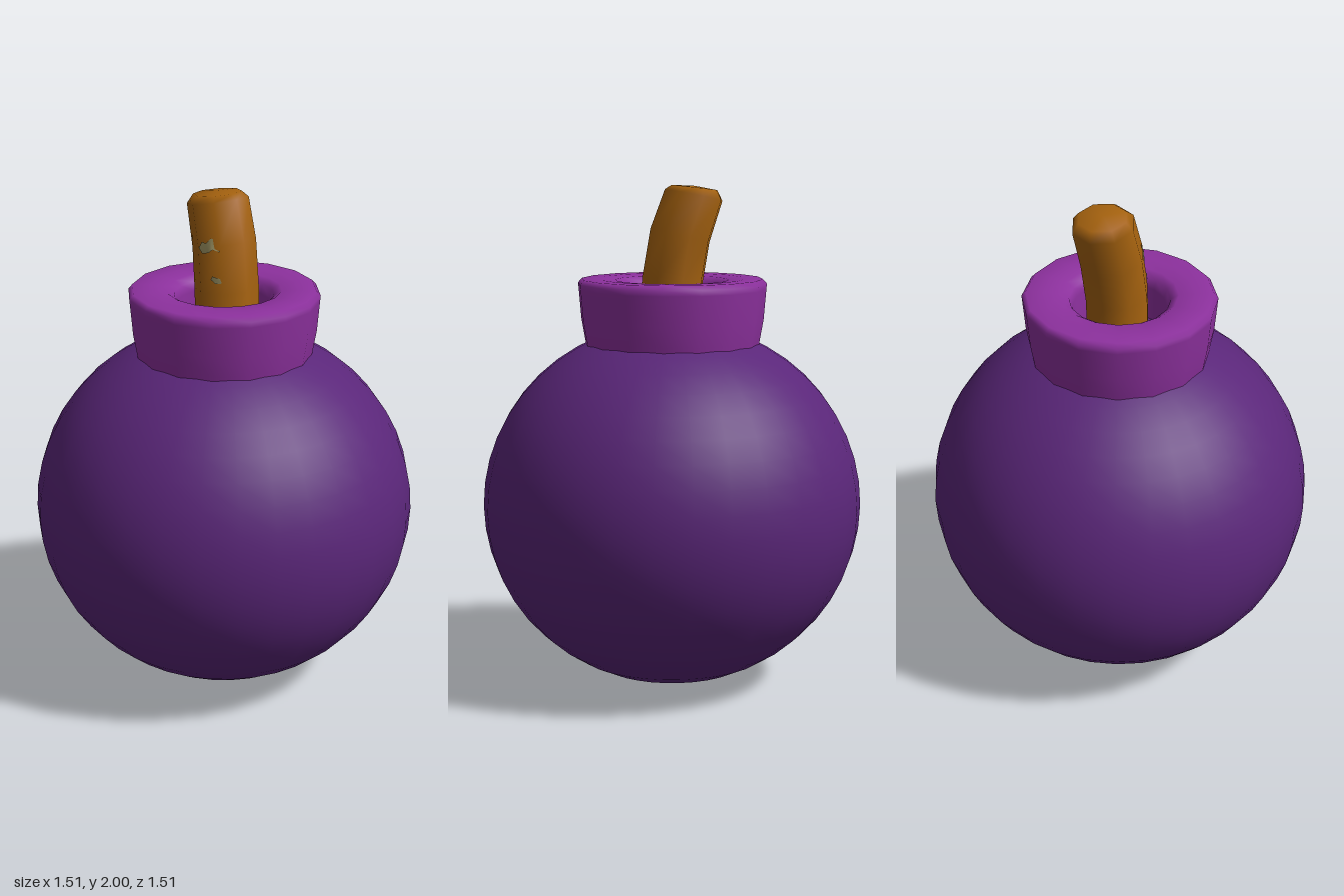
import * as THREE from 'three';

const mat = (name, color) => new THREE.MeshStandardMaterial({ name, color });

// Fuse cross-sections: centre x, y, z, radius and sideways tilt
const RINGS = [
  [0.01, 1.40, -0.01, 0.126, 0],
  [0.0, 1.63, -0.013, 0.126, 0.08],
  [-0.027, 1.80, -0.022, 0.125, 0.24],
  [-0.08, 1.957, -0.032, 0.121, 0.2],
  [-0.083, 1.986, -0.033, 0.095, 0.12],
];
const SIDES = 8;

// Octagonal tube lofted through the rings, closed with a top cap
function fuseGeometry() {
  const pos = [], idx = [];
  for (const [x, y, z, r, tilt] of RINGS) {
    for (let i = 0; i < SIDES; i++) {
      const a = (i / SIDES) * Math.PI * 2;
      const s = r * Math.sin(a);
      pos.push(x + s * Math.cos(tilt), y + s * Math.sin(tilt), z + r * Math.cos(a));
    }
  }
  for (let k = 0; k < RINGS.length - 1; k++) {
    for (let i = 0; i < SIDES; i++) {
      const a = k * SIDES + i, b = k * SIDES + (i + 1) % SIDES;
      idx.push(a, b, b + SIDES, a, b + SIDES, a + SIDES);
    }
  }
  const last = (RINGS.length - 1) * SIDES;
  pos.push(-0.083, 1.993, -0.033);
  for (let i = 0; i < SIDES; i++) idx.push(last + i, last + (i + 1) % SIDES, last + SIDES);
  const g = new THREE.BufferGeometry();
  g.setAttribute('position', new THREE.Float32BufferAttribute(pos, 3));
  g.setIndex(idx);
  g.computeVertexNormals();
  return g;
}

// Thin worn patch laid against the front facet of the fuse
function patchGeometry(outline) {
  const g = new THREE.ShapeGeometry(new THREE.Shape(outline.map(([x, y]) => new THREE.Vector2(x, y))));
  const p = g.attributes.position;
  for (let i = 0; i < p.count; i++) {
    const x = p.getX(i), y = p.getY(i);
    const k = y < 1.8 ? 1 : 2;
    const t = (y - RINGS[k][1]) / (RINGS[k + 1][1] - RINGS[k][1]);
    const at = (c) => THREE.MathUtils.lerp(RINGS[k][c], RINGS[k + 1][c], t);
    const d = Math.abs(x - at(0));
    p.setZ(i, at(2) + at(3) - 0.414 * d - 2 * Math.max(0, d - 0.086) + 0.007);
  }
  g.computeVertexNormals();
  return g;
}

export function createModel() {
  const group = new THREE.Group();
  const bodyMat = mat('deepPurple', 0x5a2679);
  const collarMat = mat('brightPurple', 0x8d319e);
  const fuseMat = mat('ochre', 0xa5620f);
  const patchMat = mat('wornGrey', 0x8c8357);
  patchMat.side = THREE.DoubleSide;

  const add = (name, geometry, material) => {
    const mesh = new THREE.Mesh(geometry, material);
    mesh.name = name;
    group.add(mesh);
  };

  // Slightly flattened round body
  const body = new THREE.SphereGeometry(0.757, 32, 24);
  body.scale(1, 0.726 / 0.757, 1);
  body.translate(0, 0.728, 0);
  add('body', body, bodyMat);

  // Flared collar with a rounded hole in the middle
  const profile = [
    [0.342, 1.34], [0.35, 1.39], [0.364, 1.47], [0.374, 1.59], [0.376, 1.612],
    [0.36, 1.63], [0.29, 1.63], [0.225, 1.625], [0.195, 1.605], [0.183, 1.57], [0.183, 1.40],
  ].map(([r, y]) => new THREE.Vector2(r, y));
  add('collar', new THREE.LatheGeometry(profile, 16), collarMat);

  // Bent fuse and its worn patches
  add('fuse', fuseGeometry(), fuseMat);
  add('largeFusePatch', patchGeometry([
    [-0.02, 1.805], [-0.005, 1.785], [0.02, 1.79], [0.035, 1.805], [0.06, 1.8],
    [0.07, 1.82], [0.055, 1.842], [0.02, 1.845], [0.005, 1.825], [-0.012, 1.828],
  ]), patchMat);
  add('smallFusePatch', patchGeometry([
    [0.04, 1.69], [0.06, 1.678], [0.08, 1.68], [0.085, 1.693], [0.065, 1.7], [0.045, 1.704],
  ]), patchMat);

  return group;
}
